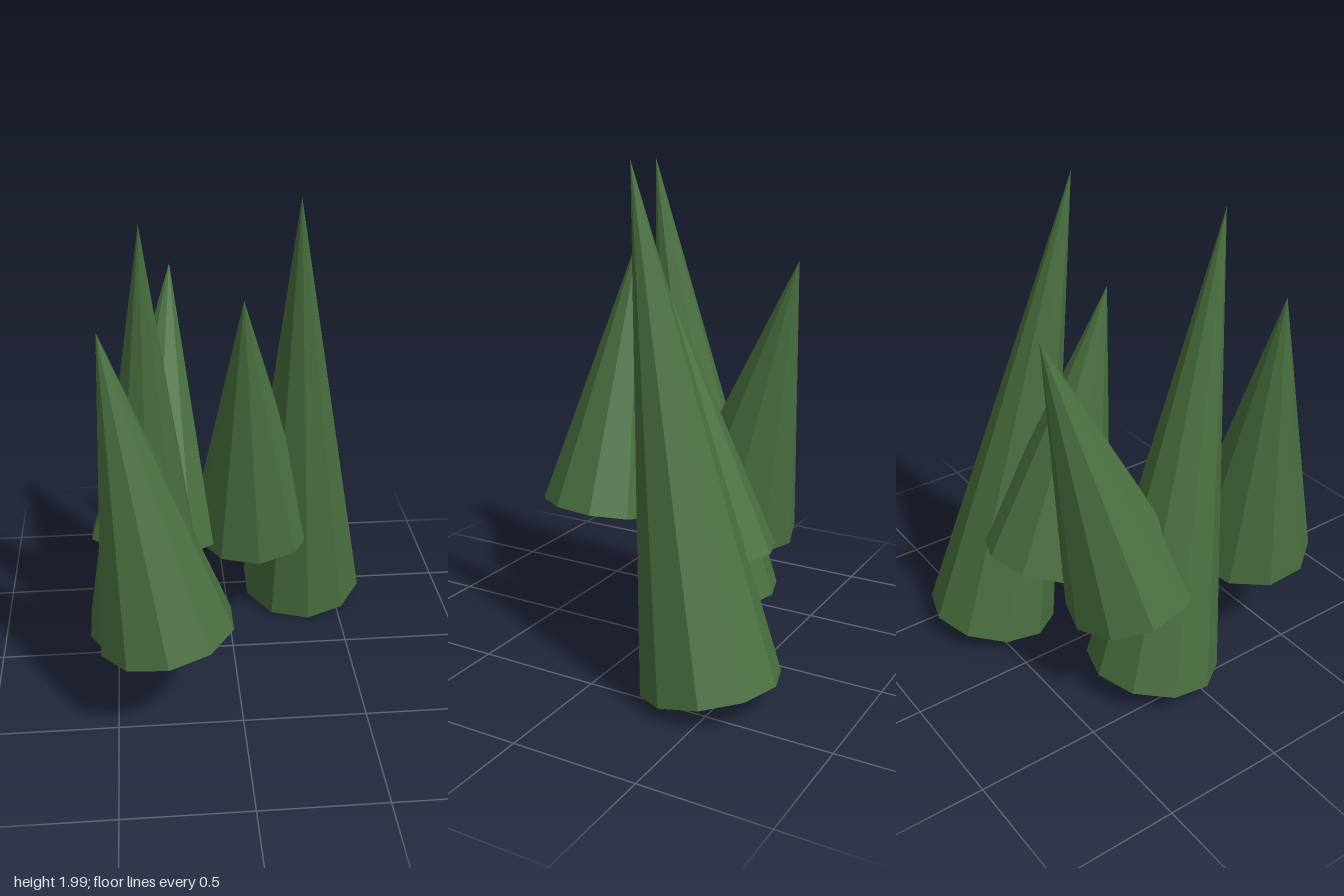
import * as THREE from 'three';

const RADIUS = 0.273;
const SIDES = 10;

// Each leaning spike: base centre and tip
const SPIKES = [
  { name: 'frontLeaningSpike', base: [-0.296, 0.42, 0.44], tip: [-0.51, 1.64, 0.37] },
  { name: 'tallRightSpike', base: [-0.36, 0.087, -0.105], tip: [-0.35, 1.97, 0.2] },
  { name: 'tallLeftSpike', base: [0.357, 0.06, -0.448], tip: [0.26, 1.99, -0.045] },
  { name: 'middleSpike', base: [0.115, 0.46, -0.305], tip: [0.045, 1.595, -0.035] },
  { name: 'backLeaningSpike', base: [-0.335, 0.465, -0.195], tip: [-0.225, 1.6, -0.51] },
];

// Closed cone whose axis runs from the base centre to the tip
function spike({ name, base, tip }, material) {
  const from = new THREE.Vector3(...base);
  const axis = new THREE.Vector3(...tip).sub(from);
  const height = axis.length();
  const geometry = new THREE.ConeGeometry(RADIUS, height, SIDES);
  geometry.translate(0, height / 2, 0);
  const mesh = new THREE.Mesh(geometry, material);
  mesh.name = name;
  mesh.position.copy(from);
  mesh.quaternion.setFromUnitVectors(new THREE.Vector3(0, 1, 0), axis.normalize());
  return mesh;
}

export function createModel() {
  const leafGreen = new THREE.MeshStandardMaterial({ color: 0x4a7040 });
  leafGreen.name = 'leaf green';
  leafGreen.flatShading = true;

  const group = new THREE.Group();
  group.name = 'spikyFoliage';
  for (const s of SPIKES) group.add(spike(s, leafGreen));
  return group;
}
